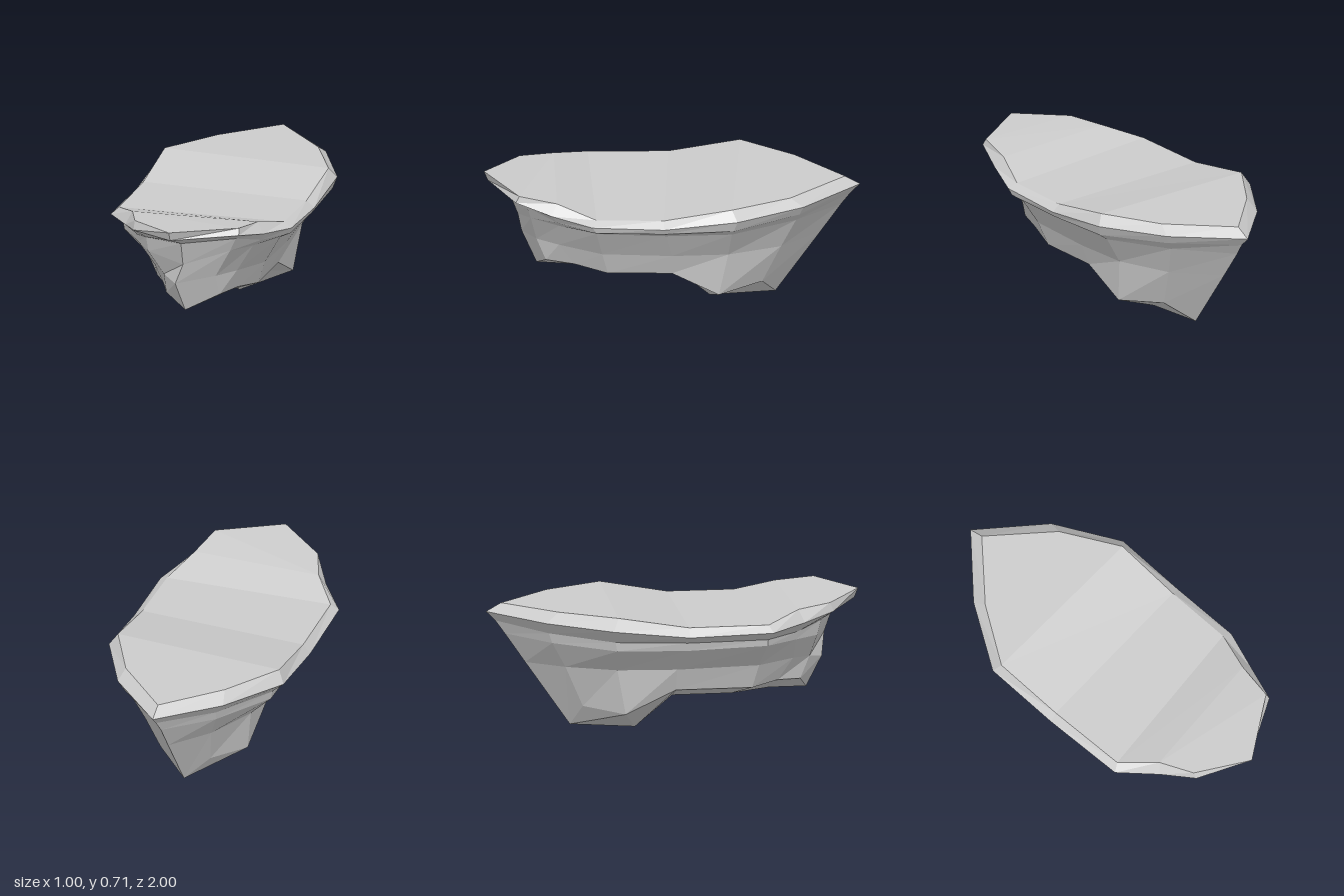
import * as THREE from 'three';

// Small per-station differences that make the -x side irregular
const LEFT_X = [0.75, 0.86, 1, 1, 1, 0.88];
const LEFT_Y = [-0.02, -0.01, 0, 0, 0, 0];
const LEFT_Z = [0, 0.02, 0.05, -0.02, -0.04, -0.02];

// Closed ring: front tip, six +x stations, back tip, six -x stations
function ring(front, side, back, scaleX = 1, dy = 0) {
  const left = side.map(([x, y, z], i) => [
    -x * scaleX * LEFT_X[i], y + dy + LEFT_Y[i], z + LEFT_Z[i]]);
  return [front, ...side, back, ...left.reverse()];
}

function facets(name, tris, material) {
  const pos = [];
  for (const t of tris) {
    const tri = new THREE.Triangle(...t.map(p => new THREE.Vector3(...p)));
    if (tri.getArea() > 1e-6) pos.push(...t.flat());
  }
  const geometry = new THREE.BufferGeometry();
  geometry.setAttribute('position', new THREE.Float32BufferAttribute(pos, 3));
  geometry.computeVertexNormals();
  const mesh = new THREE.Mesh(geometry, material);
  mesh.name = name;
  return mesh;
}

// Band of facets between an upper and a lower ring
function band(upper, lower) {
  const tris = [];
  upper.forEach((u, i) => {
    const j = (i + 1) % upper.length;
    tris.push([lower[i], lower[j], upper[j]], [lower[i], upper[j], u]);
  });
  return tris;
}

export function createModel() {
  const group = new THREE.Group();
  group.name = 'rockPlatform';
  const material = new THREE.MeshStandardMaterial({ color: 0xcccccc, flatShading: true });

  // Rings from the top edge down to the chine
  const deck = ring([0, 0.715, 1],
    [[0.33, 0.715, 0.81], [0.37, 0.69, 0.61], [0.45, 0.63, 0.4],
      [0.455, 0.63, 0.04], [0.46, 0.695, -0.32], [0.3, 0.695, -0.63]],
    [0.01, 0.695, -0.92], 1.02);
  const rim = ring([0, 0.665, 0.98],
    [[0.335, 0.68, 0.83], [0.41, 0.635, 0.64], [0.495, 0.605, 0.42],
      [0.5, 0.595, 0.04], [0.5, 0.64, -0.35], [0.32, 0.65, -0.7]],
    [0.01, 0.65, -1], 1.01, -0.012);
  const ledge = ring([0.025, 0.615, 0.87],
    [[0.3, 0.64, 0.77], [0.39, 0.59, 0.61], [0.485, 0.57, 0.4],
      [0.485, 0.565, 0.04], [0.48, 0.58, -0.33], [0.3, 0.6, -0.68]],
    [0.01, 0.6, -0.95], 0.9, -0.025);
  const shoulder = ring([0.02, 0.48, 0.82],
    [[0.26, 0.56, 0.75], [0.34, 0.55, 0.6], [0.425, 0.54, 0.4],
      [0.42, 0.525, 0.03], [0.42, 0.535, -0.32], [0.26, 0.55, -0.66]],
    [0, 0.53, -0.9], 1.01, -0.03);
  const waist = ring([-0.03, 0.36, 0.8],
    [[0.17, 0.4, 0.72], [0.25, 0.4, 0.6], [0.33, 0.38, 0.37],
      [0.33, 0.37, 0], [0.32, 0.375, -0.3], [0.21, 0.375, -0.58]],
    [0, 0.37, -0.79], 0.94);
  const chine = ring([0, 0.19, 0.72],
    [[0.175, 0.28, 0.67], [0.23, 0.28, 0.52], [0.285, 0.25, 0.34],
      [0.285, 0.25, 0], [0.285, 0.125, -0.25], [0.16, 0.15, -0.48]],
    [0, 0.025, -0.55], 0.93);

  // The keel is a ring folded flat onto the centre line
  const spine = [[0, 0.19, 0.72], [0, 0.19, 0.52], [0, 0.165, 0.32],
    [0, 0.165, 0], [0, 0, -0.2], [0, 0.025, -0.55]];
  const keel = [spine[0], ...spine, spine[5], ...spine.slice().reverse()];

  // Saddle-shaped top made of strips running across
  const top = [];
  for (let i = 0; i < 7; i++) {
    const l = deck[(14 - i) % 14], l2 = deck[13 - i];
    top.push([deck[i], deck[i + 1], l2], [deck[i], l2, l]);
  }
  group.add(facets('topSurface', top, material));

  const rings = [deck, rim, ledge, shoulder, waist, chine, keel];
  ['rimEdge', 'underRim', 'upperWall', 'middleWall', 'lowerWall', 'underside']
    .forEach((name, i) => group.add(facets(name, band(rings[i], rings[i + 1]), material)));
  return group;
}
